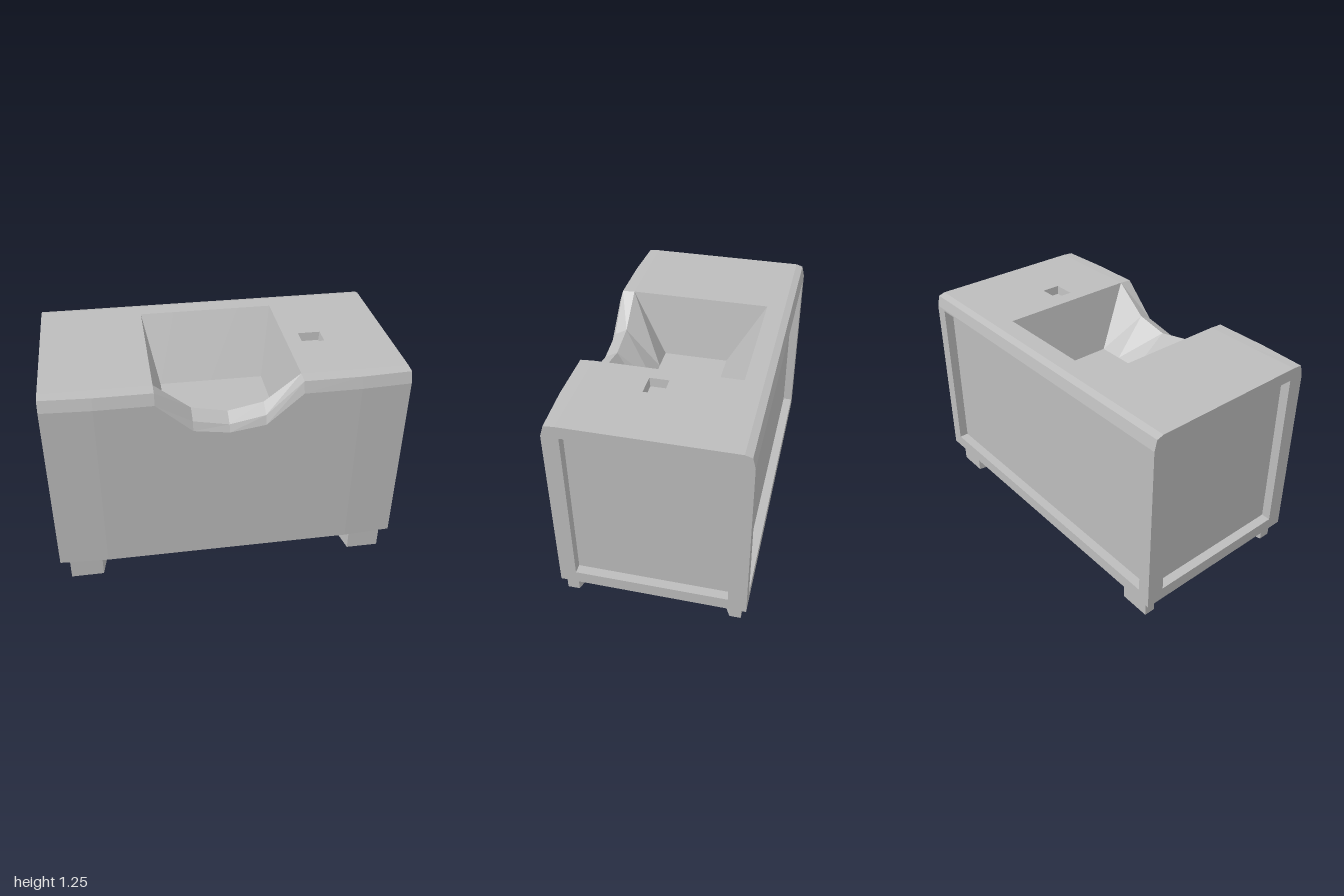
import * as THREE from 'three';

const grey = new THREE.MeshStandardMaterial({ color: 0xbcbcbc });
grey.name = 'light grey';

// Flat-shaded geometry from a list of convex polygons (counter-clockwise)
function polys(list) {
  const v = [];
  for (const p of list)
    for (let i = 1; i < p.length - 1; i++) v.push(...p[0], ...p[i], ...p[i + 1]);
  const g = new THREE.BufferGeometry();
  g.setAttribute('position', new THREE.Float32BufferAttribute(v, 3));
  g.computeVertexNormals();
  return g;
}

// Quads between successive rows of points
function loft(rows) {
  const out = [];
  for (let r = 0; r < rows.length - 1; r++)
    for (let k = 0; k < rows[r].length - 1; k++)
      out.push([rows[r][k], rows[r][k + 1], rows[r + 1][k + 1], rows[r + 1][k]]);
  return out;
}

const shape = (pts) => new THREE.Shape(pts.map((p) => new THREE.Vector2(...p)));
const rect = (x0, y0, x1, y1) => [[x0, y0], [x1, y0], [x1, y1], [x0, y1]];

function mesh(name, geometry) {
  const m = new THREE.Mesh(geometry, grey);
  m.name = name;
  return m;
}

// Flat panel facing +z with a rectangular pocket sunk into it
function panel(name, outline, [x0, y0, x1, y1], depth, taper = 0) {
  const s = shape(outline);
  s.holes.push(shape(rect(x0, y0, x1, y1)));
  const o = rect(x0, y0, x1, y1).map(([x, y]) => [x, y, 0]);
  const b = rect(x0 + taper, y0 + taper, x1 - taper, y1 - taper).map(([x, y]) => [x, y, -depth]);
  const walls = o.map((p, k) => [p, o[(k + 1) % 4], b[(k + 1) % 4], b[k]]);
  const g = new THREE.Group();
  g.name = name;
  g.add(mesh(name + 'Frame', new THREE.ShapeGeometry(s)), mesh(name + 'Recess', polys([...walls, b])));
  return g;
}

export function createModel() {
  const root = new THREE.Group();
  root.name = 'cabinet';
  const Y0 = 0.13, TOP = 1.25;

  // Front: slightly bowed face and bevelled top edge that dips into a notch
  const xs = [-1, -0.72, -0.4, -0.2, 0, 0.2, 0.4, 0.72, 1];
  const dip = (x, edge, mid, centre) => (Math.abs(x) > 0.3 ? edge : x === 0 ? centre : mid);
  const back = (x) => (Math.abs(x) === 1 ? 0.015 : 0);
  const bottom = xs.map((x) => [x, Y0, 0.545 - back(x)]);
  const lipLow = xs.map((x) => [x, dip(x, 1.18, 1.0, 0.97), 0.545 - back(x)]);
  const lipHigh = xs.map((x) => [x, dip(x, 1.245, 1.05, 1.01), 0.525 - back(x)]);
  const lipIn = xs.map((x) => [x, dip(x, TOP, 1.09, 1.05), 0.45]);
  root.add(mesh('frontPanel', polys(loft([bottom, lipLow, lipHigh, lipIn]))));

  // Basin: tapered walls down to a flat floor
  const FY = 0.88;
  const fx = [-0.315, -0.165, 0, 0.165, 0.315];
  const rimFront = lipIn.slice(2, 7);
  const floorFront = fx.map((x) => [x, FY, 0.235]);
  const floorBack = fx.map((x) => [x, FY, -0.16]);
  const rimBack = rimFront.map(([x]) => [x, TOP, -0.385]);
  const rows = [rimFront, floorFront, floorBack, rimBack];
  root.add(mesh('basin', polys([
    ...loft(rows),
    rows.map((r) => r[0]),
    rows.map((r) => r[4]).reverse(),
  ])));

  // Top, open at the basin, with a small square socket
  const top = panel('top',
    [[-1, -0.45], [-0.4, -0.45], [-0.4, 0.385], [0.4, 0.385], [0.4, -0.45], [1, -0.45], [1, 0.49], [-1, 0.49]],
    [0.49, -0.11, 0.62, 0], 0.05, 0.006);
  top.rotation.x = -Math.PI / 2;
  top.position.y = TOP;
  root.add(top);

  // Back bevel and recessed back panel
  const row = (y, z) => [[-1, y, z], [1, y, z]];
  root.add(mesh('backBevel', polys(loft([row(TOP, -0.49), row(1.238, -0.53), row(1.175, -0.545)]))));
  const backPanel = panel('backPanel', rect(-1, Y0, 1, 1.175), [-0.925, 0.205, 0.925, 1.165], 0.055);
  backPanel.rotation.y = Math.PI;
  backPanel.position.z = -0.545;
  root.add(backPanel);

  // Recessed side panels
  const profile = [[0.53, Y0], [0.53, 1.18], [0.51, 1.245], [0.45, TOP], [-0.49, TOP], [-0.53, 1.238], [-0.545, 1.175], [-0.545, Y0]];
  for (const s of [1, -1]) {
    const hole = s > 0 ? [-0.435, 0.205, 0.44, 1.18] : [-0.44, 0.205, 0.435, 1.18];
    const side = panel(s > 0 ? 'leftSide' : 'rightSide', profile.map(([z, y]) => [-s * z, y]), hole, 0.055);
    side.rotation.y = s * Math.PI / 2;
    side.position.x = s;
    root.add(side);
  }

  // Underside
  const under = new THREE.ShapeGeometry(shape(
    [[-1, -0.545], [1, -0.545], [1, 0.53], [0.72, 0.545], [-0.72, 0.545], [-1, 0.53]]));
  under.rotateX(Math.PI / 2).translate(0, Y0, 0);
  root.add(mesh('underside', under));

  // Wedge-shaped feet pointing inward
  const feet = {
    front: [[0.945, 0.52], [0.945, 0.45], [0.73, 0.39], [0.755, 0.52]],
    back: [[0.945, -0.51], [0.945, -0.445], [0.735, -0.33], [0.765, -0.51]],
  };
  for (const [name, pts] of Object.entries(feet))
    for (const s of [1, -1]) {
      const g = new THREE.ExtrudeGeometry(shape(pts.map(([x, z]) => [s * x, z])), { depth: Y0, bevelEnabled: false });
      g.rotateX(Math.PI / 2).translate(0, Y0, 0);
      root.add(mesh(name + (s > 0 ? 'LeftFoot' : 'RightFoot'), g));
    }

  return root;
}
